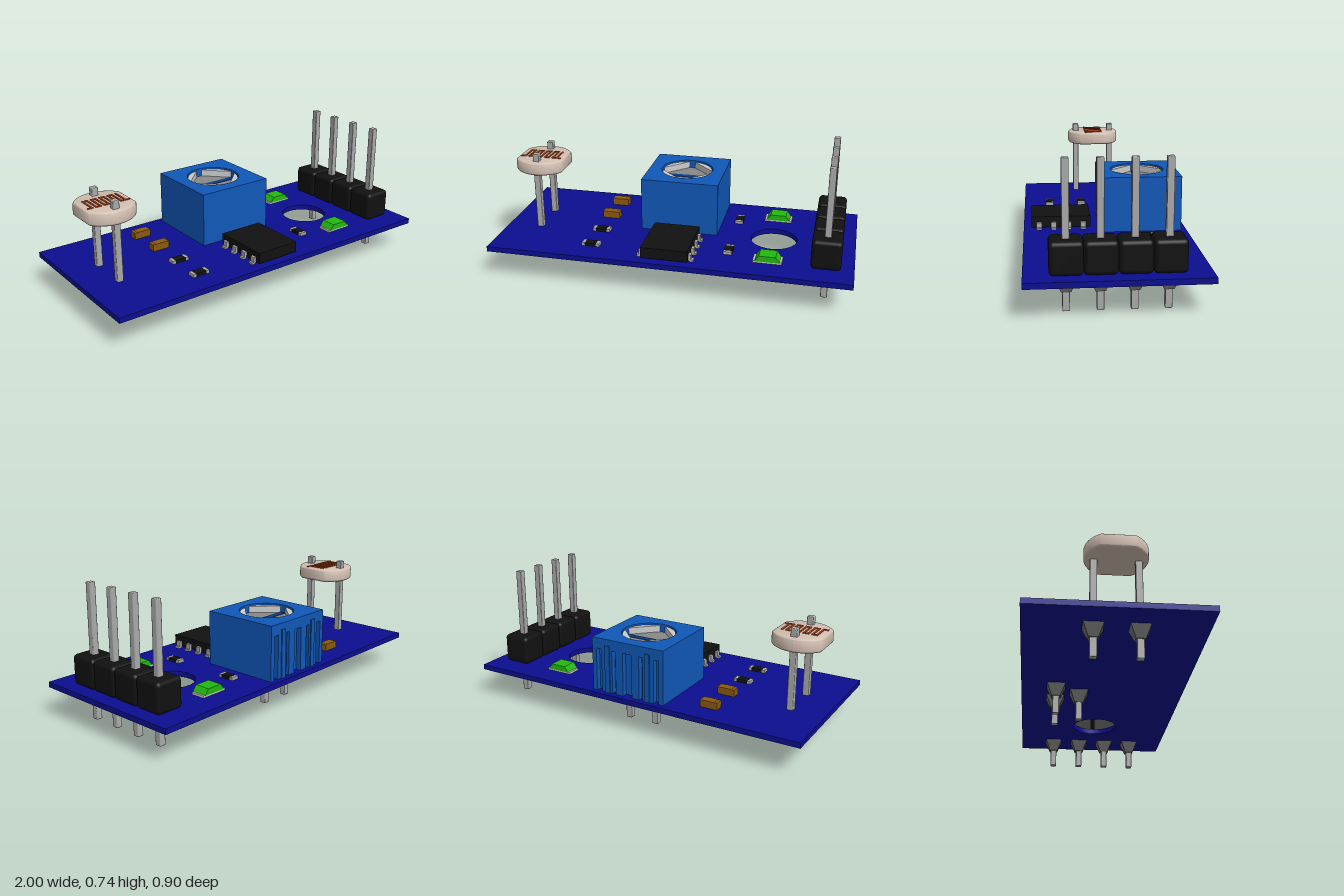
import * as THREE from 'three';
import { RoundedBoxGeometry } from 'three/addons/geometries/RoundedBoxGeometry.js';
import { toCreasedNormals } from 'three/addons/utils/BufferGeometryUtils.js';

const mat = (color) => new THREE.MeshStandardMaterial({ color });
const M = {
  board: mat(0x0c0e90), blue: mat(0x1058b8), darkBlue: mat(0x0b3f86), black: mat(0x111111),
  metal: mat(0xaaaaaa), solder: mat(0x6e6e6e), grey: mat(0xcccccc), slot: mat(0x888888),
  clay: mat(0xd2bfb2), track: mat(0xc04818), amber: mat(0x8a5a10), green: mat(0x22b80f),
};
const TOP = 0.195, BOTTOM = 0.165, PIN = 0.036;

export function createModel() {
  const root = new THREE.Group();

  const add = (parent, name, geo, material, x = 0, y = 0, z = 0) => {
    const m = new THREE.Mesh(geo, material);
    m.name = name;
    m.position.set(x, y, z);
    parent.add(m);
    return m;
  };
  // box given by its centre in x and z and its bottom and top heights
  const box = (parent, name, material, x, z, w, d, y0, y1) =>
    add(parent, name, new THREE.BoxGeometry(w, y1 - y0, d), material, x, (y0 + y1) / 2, z);
  const group = (name, x = 0, z = 0) => {
    const g = new THREE.Group();
    g.name = name;
    g.position.set(x, 0, z);
    root.add(g);
    return g;
  };
  // plan shape (x, -z) extruded upwards from y0 to y1
  const slab = (shape, y0, y1, bevel = 0) =>
    new THREE.ExtrudeGeometry(shape, {
      depth: y1 - y0 - 2 * bevel, bevelEnabled: bevel > 0, bevelSize: bevel, bevelOffset: -bevel,
      bevelThickness: bevel, bevelSegments: 4, curveSegments: 40,
    }).rotateX(-Math.PI / 2).translate(0, y0 + bevel, 0);
  const polygon = (pts) => new THREE.Shape(pts.map(([x, y]) => new THREE.Vector2(x, y)));
  const circle = (x, y, r) => new THREE.Path().absarc(x, y, r, 0, Math.PI * 2, true);

  // square lead with its solder joint under the board
  const lead = (parent, name, x, z, top) => {
    add(parent, name, new RoundedBoxGeometry(PIN, top, PIN, 1, 0.005), M.metal, x, top / 2, z);
    const cone = new THREE.CylinderGeometry(0.05 * Math.SQRT2, 0.024 * Math.SQRT2, 0.066, 4)
      .rotateY(Math.PI / 4);
    add(parent, 'solderJoint', toCreasedNormals(cone, 0.5), M.solder, x, 0.132, z);
  };

  // circuit board with mounting hole
  const boardShape = polygon([[-1, -0.45], [1, -0.45], [1, 0.45], [-1, 0.45]]);
  boardShape.holes.push(circle(0.545, 0, 0.13));
  add(root, 'circuitBoard', slab(boardShape, BOTTOM, TOP), M.board);

  // four-pin header
  const header = group('pinHeader', 0.85);
  for (let i = 0; i < 4; i++) {
    const z = (i - 1.5) * 0.1635;
    add(header, 'headerBlock', new RoundedBoxGeometry(0.16, 0.165, 0.1635, 3, 0.022), M.black, 0, 0.2775, z);
    lead(header, 'headerPin', 0, z, 0.742);
  }

  // light sensor: clipped round disc on two leads
  const sensor = group('lightSensor', -0.81);
  const R = 0.16, cut = Math.acos(0.136 / R);
  const disc = new THREE.Shape();
  disc.absarc(0, 0, R, cut, Math.PI - cut, false);
  disc.absarc(0, 0, R, Math.PI + cut, 2 * Math.PI - cut, false);
  disc.closePath();
  add(sensor, 'sensorDisc', toCreasedNormals(slab(disc, 0.521, 0.596, 0.014), 0.6), M.clay);
  for (const s of [-1, 1]) lead(sensor, 'sensorLead', 0, s * 0.111, 0.64);
  // meandering track on the disc
  const step = 0.0235, line = 0.009, n = 9;
  for (let i = 0; i < n; i++) {
    const x = (i - (n - 1) / 2) * step;
    box(sensor, 'trackBar', M.track, x, 0, line, 0.11, 0.59, 0.601);
    if (i < n - 1) {
      box(sensor, 'trackTurn', M.track, x + step / 2, i % 2 ? 0.0505 : -0.0505, step, line, 0.59, 0.6008);
    }
  }
  for (const s of [-1, 1]) box(sensor, 'trackEnd', M.track, s * 0.105, 0.0505, 0.03, line, 0.59, 0.6008);

  // trimmer: grooved lower body, closed cap, slotted dial
  const trimmer = group('trimmer', 0, -0.195);
  const H = 0.222, back = 0.223;
  const outline = [[-H, -H], [H, -H], [H, back]];
  for (const [x, w] of [[0.18, 0.032], [0.085, 0.022], [0, 0.055], [-0.085, 0.022], [-0.18, 0.032]]) {
    outline.push([x + w / 2, back], [x + w / 2, back - 0.03], [x - w / 2, back - 0.03], [x - w / 2, back]);
  }
  outline.push([-H, back]);
  add(trimmer, 'trimmerBody', slab(polygon(outline), TOP, 0.44), M.blue);
  for (const s of [-1, 1]) box(trimmer, 'trimmerRib', M.blue, s * 0.125, -back, 0.03, 0.012, TOP, 0.465);
  const cap = polygon([[-H, -H], [H, -H], [H, back], [-H, back]]);
  cap.holes.push(circle(0, 0, 0.15));
  add(trimmer, 'trimmerCap', slab(cap, 0.44, 0.5), M.blue);
  add(trimmer, 'dialFloor', new THREE.CylinderGeometry(0.145, 0.145, 0.015, 48), M.slot, 0, 0.4475, 0);
  box(trimmer, 'dialSlot', M.darkBlue, 0, 0, 0.285, 0.034, 0.45, 0.458);
  const gap = 0.017, a0 = Math.asin(gap / 0.145);
  const quarter = new THREE.Shape();
  quarter.moveTo(gap, gap);
  quarter.absarc(0, 0, 0.145, a0, Math.PI / 2 - a0, false);
  quarter.closePath();
  for (let i = 0; i < 4; i++) {
    add(trimmer, 'dialQuarter', toCreasedNormals(slab(quarter, 0.45, 0.492), 0.5), M.grey).rotation.y = i * Math.PI / 2;
  }
  for (const [x, z] of [[-0.085, -0.065], [0.085, -0.065], [0, 0.065]]) lead(trimmer, 'trimmerPin', x, z, 0.18);

  // eight-leg chip
  const chip = group('chip', 0, 0.242);
  box(chip, 'chipBody', M.black, 0, 0, 0.258, 0.33, 0.203, 0.264);
  for (const s of [-1, 1]) {
    for (let i = 0; i < 4; i++) {
      const z = (i - 1.5) * 0.082;
      box(chip, 'chipLeg', M.metal, s * 0.134, z, 0.022, 0.03, 0.2, 0.234);
      box(chip, 'chipFoot', M.metal, s * 0.146, z, 0.022, 0.03, TOP, 0.206);
    }
  }

  // small two-ended surface parts
  const chipPart = (name, x, z, body, ends, len, w, h, turned) => {
    const g = group(name, x, z);
    box(g, name + 'Body', body, 0, 0, len * 0.64, w, TOP, TOP + h);
    for (const s of [-1, 1]) box(g, name + 'End', ends, s * len * 0.41, 0, len * 0.18, w, TOP, TOP + h * 0.97);
    if (turned) g.rotation.y = Math.PI / 2;
  };
  for (const z of [-0.3, -0.1]) chipPart('capacitor', -0.44, z, M.amber, M.amber, 0.1, 0.05, 0.04);
  for (const z of [0.1, 0.295]) chipPart('resistor', -0.44, z, M.black, M.metal, 0.1, 0.046, 0.017);
  for (const z of [-0.205, 0.205]) chipPart('sideResistor', 0.32, z, M.black, M.metal, 0.096, 0.046, 0.017, true);

  // indicator lamps: flat base under a tapered green lens
  const lens = polygon([[-0.068, 0.205], [0.068, 0.205], [0.045, 0.237], [-0.045, 0.237]]);
  for (const z of [-0.275, 0.272]) {
    const lamp = group('indicatorLamp', 0.543, z);
    box(lamp, 'lampBase', M.grey, 0, 0, 0.156, 0.08, TOP, 0.207);
    add(lamp, 'lampLens', new THREE.ExtrudeGeometry(lens, { depth: 0.088, bevelEnabled: false }), M.green, 0, 0, -0.044);
  }

  return root;
}
